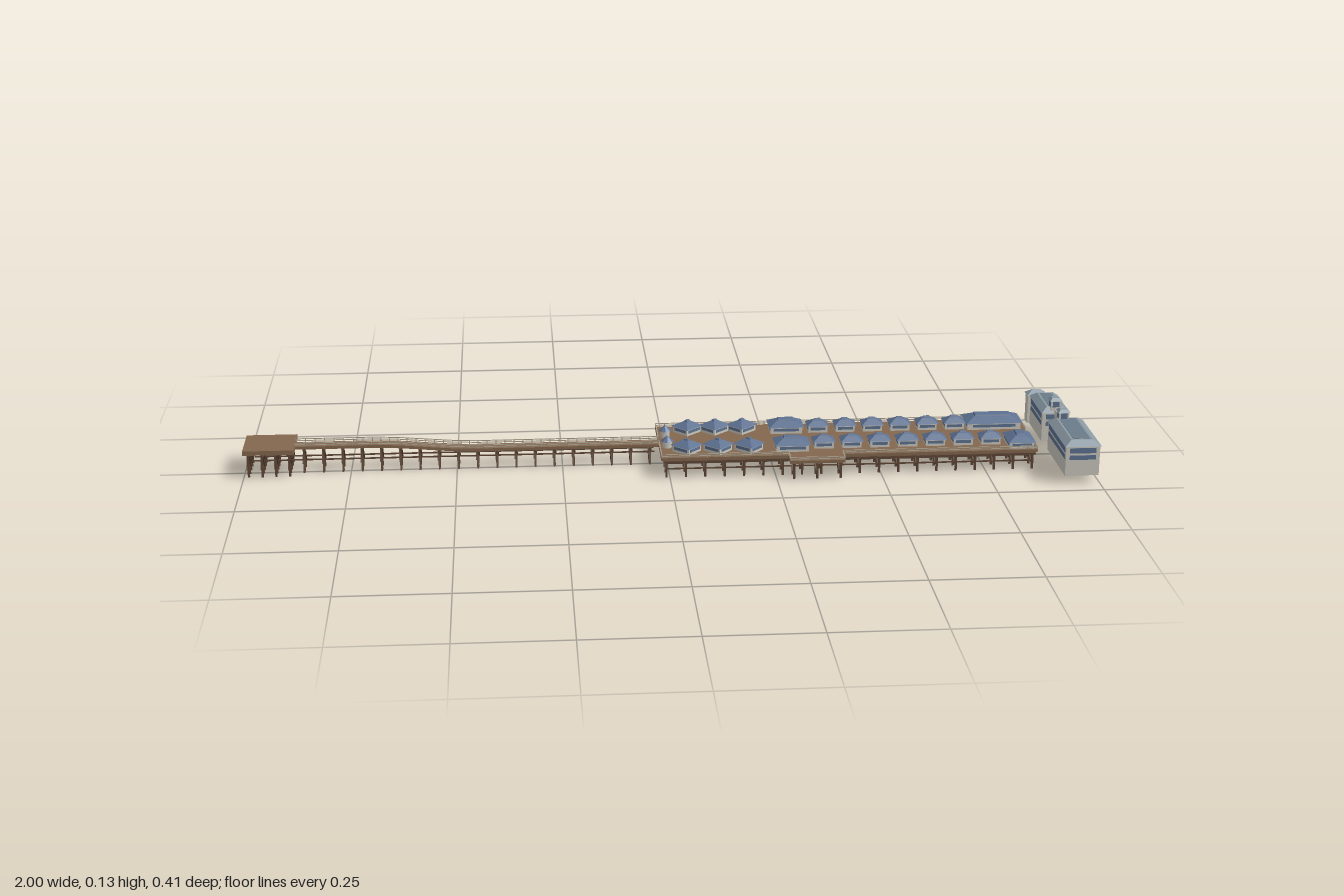
import * as THREE from 'three';
import { mergeGeometries } from 'three/addons/utils/BufferGeometryUtils.js';

const mat = (name, color) => new THREE.MeshStandardMaterial({ name, color });

export function createModel() {
  const root = new THREE.Group();
  root.name = 'pier';
  const M = {
    deck: mat('deck timber', 0x84674f),
    wood: mat('dark timber', 0x5e4736),
    rail: mat('railing', 0xaaa08e),
    wall: mat('plaster wall', 0xcbc8be),
    roof: mat('slate blue roof', 0x5d7191),
    lead: mat('grey roof', 0x8a99a3),
    cap: mat('dark roof top', 0x6b7c88),
    glass: mat('window glass', 0x5d7391),
  };

  // ---- helpers ----
  const add = (name, geo, material, parent = root) => {
    const m = new THREE.Mesh(geo, material);
    m.name = name;
    parent.add(m);
    return m;
  };
  const box = (x0, x1, y0, y1, z0, z1) =>
    new THREE.BoxGeometry(x1 - x0, y1 - y0, z1 - z0).translate((x0 + x1) / 2, (y0 + y1) / 2, (z0 + z1) / 2);
  // straight timber between two points
  const beam = (a, b, t = 0.004) => {
    const A = new THREE.Vector3(...a), B = new THREE.Vector3(...b), d = B.clone().sub(A);
    const g = new THREE.BoxGeometry(t, t, d.length());
    const up = Math.abs(d.y) > 0.99 * d.length() ? new THREE.Vector3(1, 0, 0) : new THREE.Vector3(0, 1, 0);
    const m = new THREE.Matrix4().lookAt(B, A, up);
    return g.applyMatrix4(m).translate(...A.add(B).multiplyScalar(0.5).toArray());
  };
  // hipped roof: box whose top is inset on all sides
  const hip = (w, d, h, inset) => {
    const g = new THREE.BoxGeometry(w, h, d).toNonIndexed();
    const p = g.attributes.position;
    for (let i = 0; i < p.count; i++) {
      if (p.getY(i) > 0) {
        p.setX(i, Math.sign(p.getX(i)) * Math.max(0.0005, w / 2 - inset));
        p.setZ(i, Math.sign(p.getZ(i)) * Math.max(0.0005, d / 2 - inset));
      }
    }
    g.translate(0, h / 2, 0).computeVertexNormals();
    return g;
  };

  // ---- decks ----
  const TOP = 0.047, ZC = -0.018;
  const deckY = (x) => 0.062 - 0.015 * THREE.MathUtils.smoothstep(x, -0.7, -0.45);
  add('pierHeadDeck', box(-1, -0.88, 0.056, 0.067, -0.077, 0.037), M.deck);
  add('mainDeck', box(-0.02, 0.875, 0.04, TOP, -0.128, 0.097), M.deck);
  add('sideLanding', box(0.28, 0.41, 0.04, TOP, 0.097, 0.137), M.deck);
  add('rearLanding', box(0.71, 0.875, 0.04, TOP, -0.14, -0.128), M.deck);

  // walkway strip following the gentle slope
  const walk = new THREE.BoxGeometry(0.86, 0.007, 0.034, 30, 1, 1).translate(-0.45, -0.0035, ZC);
  const wp = walk.attributes.position;
  for (let i = 0; i < wp.count; i++) wp.setY(i, wp.getY(i) + deckY(wp.getX(i)));
  walk.computeVertexNormals();
  add('walkwayDeck', walk, M.deck);

  // ---- railings ----
  const rails = [];
  const railRun = (pts) => {
    for (let i = 0; i + 1 < pts.length; i++) {
      const [a, b] = [pts[i], pts[i + 1]];
      for (const h of [0.004, 0.0085])
        rails.push(beam([a[0], a[1] + h, a[2]], [b[0], b[1] + h, b[2]], 0.0018));
      const n = Math.max(1, Math.round(Math.hypot(b[0] - a[0], b[2] - a[2]) / 0.022));
      for (let k = 0; k <= n; k++) {
        const [x, y, z] = a.map((v, j) => v + ((b[j] - v) * k) / n);
        rails.push(box(x - 0.001, x + 0.001, y, y + 0.009, z - 0.001, z + 0.001));
      }
    }
  };
  for (const z of [ZC - 0.016, ZC + 0.016])
    railRun([-0.88, -0.7, -0.64, -0.575, -0.51, -0.45, -0.02].map((x) => [x, deckY(x), z]));
  const flat = (pts) => railRun(pts.map(([x, z]) => [x, TOP, z]));
  flat([[-0.019, -0.035], [-0.019, -0.127], [0.711, -0.127], [0.711, -0.139], [0.874, -0.139], [0.874, -0.04]]);
  flat([[-0.019, 0], [-0.019, 0.096], [0.281, 0.096], [0.281, 0.136], [0.409, 0.136], [0.409, 0.096],
    [0.874, 0.096], [0.874, 0.01]]);
  add('railings', mergeGeometries(rails), M.rail);

  // ---- timber bents: piles, cross beams and diagonal braces ----
  const timber = [];
  const bent = (x, zs, top, t = 0.005) => {
    zs.forEach((z, i) => {
      timber.push(box(x - t / 2, x + t / 2, 0, top, z - t / 2, z + t / 2));
      if (i) {
        const q = zs[i - 1];
        timber.push(beam([x + 0.003, 0.018, q], [x + 0.003, top - 0.003, z], 0.003));
        timber.push(beam([x - 0.003, top - 0.003, q], [x - 0.003, 0.018, z], 0.003));
      }
    });
    const [a, b] = [zs[0], zs[zs.length - 1]];
    timber.push(box(x - 0.003, x + 0.003, top - 0.005, top, a - 0.004, b + 0.004));
    timber.push(box(x - 0.002, x + 0.002, 0.019, 0.023, a, b));
  };
  const mainZ = Array.from({ length: 7 }, (_, i) => -0.12 + i * 0.0365);
  for (let i = 0; i < 20; i++) bent(-0.008 + i * 0.0458, mainZ, 0.04);
  for (const z of mainZ) {
    timber.push(box(-0.015, 0.87, 0.036, 0.04, z - 0.002, z + 0.002));
    timber.push(box(-0.008, 0.862, 0.02, 0.023, z - 0.0015, z + 0.0015));
  }
  for (const x of [0.29, 0.345, 0.4]) bent(x, [0.099, 0.13], 0.04);
  for (let i = 0; i < 19; i++) {
    const x = -0.86 + i * 0.0455;
    bent(x, [ZC - 0.014, ZC + 0.014], deckY(x) - 0.007);
    // raking outer piles
    for (const s of [-1, 1])
      timber.push(beam([x, 0, ZC + s * 0.026], [x, deckY(x) - 0.01, ZC + s * 0.012], 0.004));
  }
  for (const z of [ZC - 0.014, ZC + 0.014]) timber.push(box(-0.98, -0.03, 0.027, 0.03, z - 0.0015, z + 0.0015));
  for (let i = 0; i < 4; i++) bent(-0.988 + i * 0.032, [-0.07, -0.045, -0.02, 0.005, 0.03], 0.056);
  add('timberPiles', mergeGeometries(timber.map((g) => g.index ? g.toNonIndexed() : g)), M.wood);

  // ---- kiosks on the main deck ----
  const kiosk = (name, x, z, w, d, angle = 0, inset = 0.016) => {
    const g = new THREE.Group();
    g.name = name;
    g.position.set(x, TOP, z);
    g.rotation.y = angle;
    const a = w / 2 - 0.004, b = d / 2 - 0.004;
    add('walls', box(-a, a, 0, 0.016, -b, b), M.wall, g);
    add('windows', box(-a - 0.0006, a + 0.0006, 0.006, 0.013, -b * 0.8, b * 0.8), M.glass, g);
    add('windows', box(-a * 0.8, a * 0.8, 0.006, 0.013, -b - 0.0006, b + 0.0006), M.glass, g);
    add('roof', hip(w, d, 0.011, inset).translate(0, 0.016, 0), M.roof, g);
    const cw = Math.max(0.006, w - 2 * inset - 0.004), cd = Math.max(0.005, d - 2 * inset - 0.004);
    add('roofLantern', hip(cw, cd, 0.004, 0.002).translate(0, 0.027, 0), M.roof, g);
    root.add(g);
  };
  for (let i = 0; i < 3; i++) {
    kiosk('diamondKiosk', 0.055 + i * 0.066, -0.086, 0.058, 0.054, 0.75, 0.02);
    kiosk('diamondKiosk', 0.043 + i * 0.074, 0.05, 0.058, 0.054, -0.75, 0.02);
  }
  kiosk('pavilion', 0.293, -0.083, 0.085, 0.064, 0, 0.02);
  kiosk('pavilion', 0.293, 0.046, 0.085, 0.064, 0, 0.02);
  for (let i = 0; i < 7; i++) {
    const x = 0.37 + i * 0.0668;
    if (i < 6) kiosk('smallKiosk', x, -0.076, 0.054, 0.044);
    kiosk('smallKiosk', x, 0.038, 0.054, 0.044);
  }
  kiosk('hall', 0.8, -0.085, 0.138, 0.076, 0, 0.022);
  kiosk('hall', 0.838, 0.055, 0.066, 0.08, 0, 0.02);
  // small round booths flanking the entrance to the main deck
  for (const z of [-0.055, 0.02]) {
    const body = new THREE.CylinderGeometry(0.011, 0.011, 0.016, 8).translate(-0.001, TOP + 0.008, z);
    const top = new THREE.ConeGeometry(0.016, 0.014, 8).toNonIndexed().translate(-0.001, TOP + 0.023, z);
    top.computeVertexNormals();
    add('boothWall', body, M.wall);
    add('boothRoof', top, M.roof);
  }

  // ---- shore buildings ----
  const block = (name, x0, x1, z0, z1, inset, flatTop) => {
    const g = new THREE.Group();
    g.name = name;
    const e = 0.003, t = 0.0008, cx = (x0 + x1) / 2, cz = (z0 + z1) / 2;
    add('walls', box(x0 + e, x1 - e, 0.018, 0.09, z0 + e, z1 - e), M.wall, g);
    add('roof', hip(x1 - x0, z1 - z0, 0.012, inset).translate(cx, 0.09, cz), M.lead, g);
    if (flatTop) {
      const i = inset + 0.006;
      add('roofTop', box(x0 + i, x1 - i, 0.1015, 0.103, z0 + i, z1 - i), M.cap, g);
      for (const [a, b] of [[0.073, 0.086], [0.057, 0.068]]) {
        add('longWindows', box(x0 + e - t, x1 - e + t, a, b, z0 + 0.012, z1 - 0.012), M.glass, g);
        add('endWindows', box(x0 + 0.012, x1 - 0.012, a, b, z0 + e - t, z1 - e + t), M.glass, g);
      }
    }
    root.add(g);
  };
  block('frontBuilding', 0.914, 1, 0.015, 0.205, 0.017, true);
  block('rearBuilding', 0.912, 0.982, -0.175, -0.037, 0.015, true);
  block('annex', 0.906, 0.956, -0.205, -0.172, 0.016, false);

  // roof turrets
  for (const z of [0.034, -0.052]) {
    add('turretWall', box(0.935, 0.959, 0.095, 0.119, z - 0.011, z + 0.011), M.wall);
    add('turretWindow', box(0.9343, 0.9597, 0.104, 0.117, z - 0.008, z + 0.008), M.glass);
    add('turretWindow', box(0.939, 0.955, 0.104, 0.117, z - 0.0117, z + 0.0117), M.glass);
    add('turretRoof', hip(0.03, 0.028, 0.007, 0.006).translate(0.947, 0.119, z), M.lead);
  }

  // entrance arch between the buildings (profile across z, extruded along x)
  const s = new THREE.Shape();
  s.moveTo(-0.04, 0.018).lineTo(-0.032, 0.018).lineTo(-0.032, 0.069);
  s.absarc(-0.01, 0.069, 0.022, Math.PI, 0, true);
  s.lineTo(0.012, 0.018).lineTo(0.02, 0.018).lineTo(0.02, 0.1).lineTo(-0.04, 0.1);
  const arch = new THREE.ExtrudeGeometry(s, { depth: 0.016, bevelEnabled: false, curveSegments: 20 });
  arch.rotateY(-Math.PI / 2).translate(0.96, 0, 0);
  add('entranceArch', arch, M.wall);

  return root;
}
